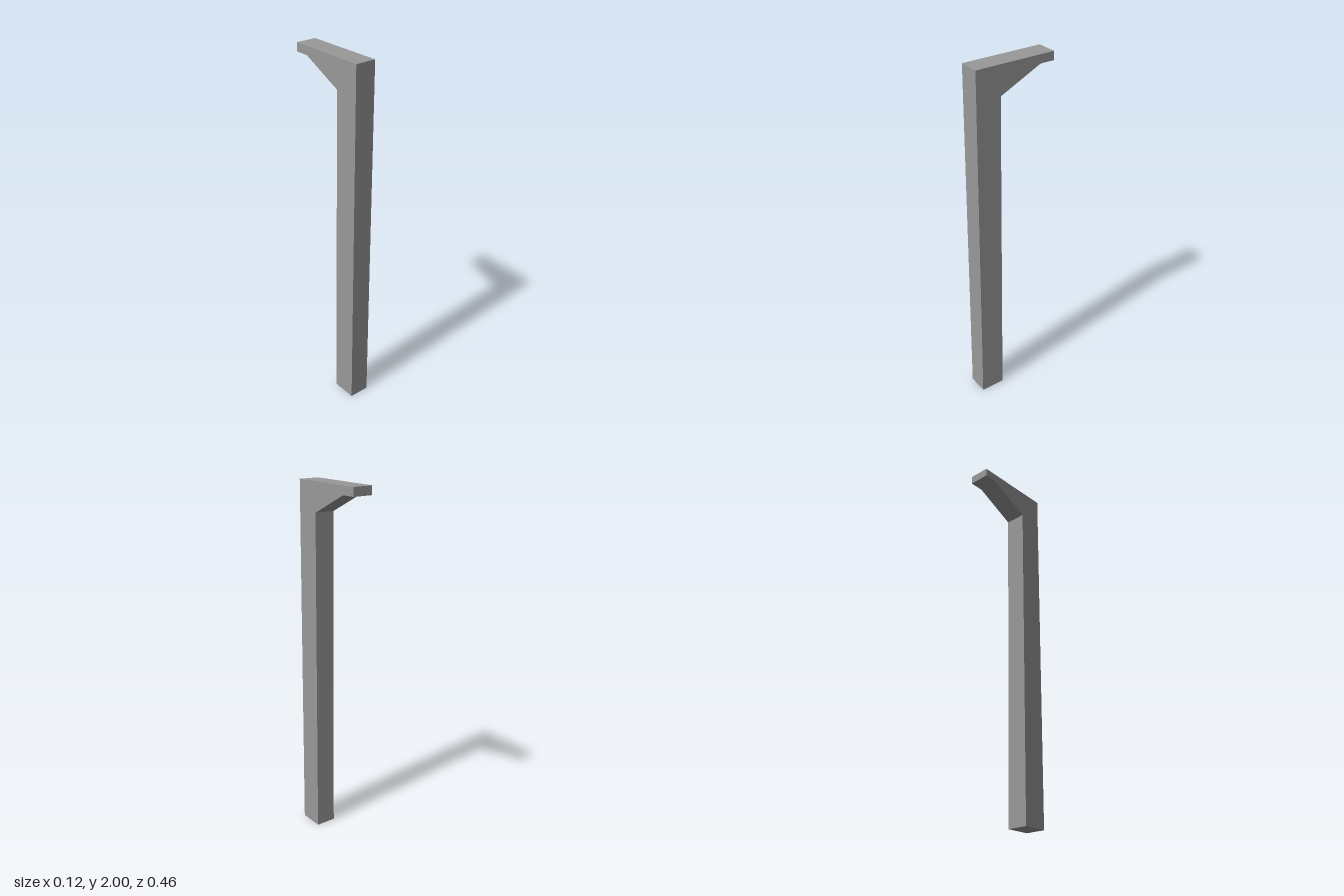
import * as THREE from 'three';

export function createModel() {
  const model = new THREE.Group();
  const grey = new THREE.MeshStandardMaterial({ color: 0x999999 });
  grey.name = 'grey';
  const width = 0.116;

  // Side profile as [z, y]: upright post with a tapered arm reaching back
  const profile = [
    [0.228, 0], [0.228, 2], [-0.228, 2], [-0.228, 1.953],
    [-0.147, 1.953], [0.088, 1.84], [0.088, 0],
  ];
  const shape = new THREE.Shape(profile.map(([z, y]) => new THREE.Vector2(z, y)));
  const geometry = new THREE.ExtrudeGeometry(shape, { depth: width, bevelEnabled: false });
  geometry.translate(0, 0, -width / 2);
  geometry.rotateY(-Math.PI / 2); // profile runs along z, thickness along x

  const post = new THREE.Mesh(geometry, grey);
  post.name = 'postWithBracketArm';
  model.add(post);
  return model;
}
